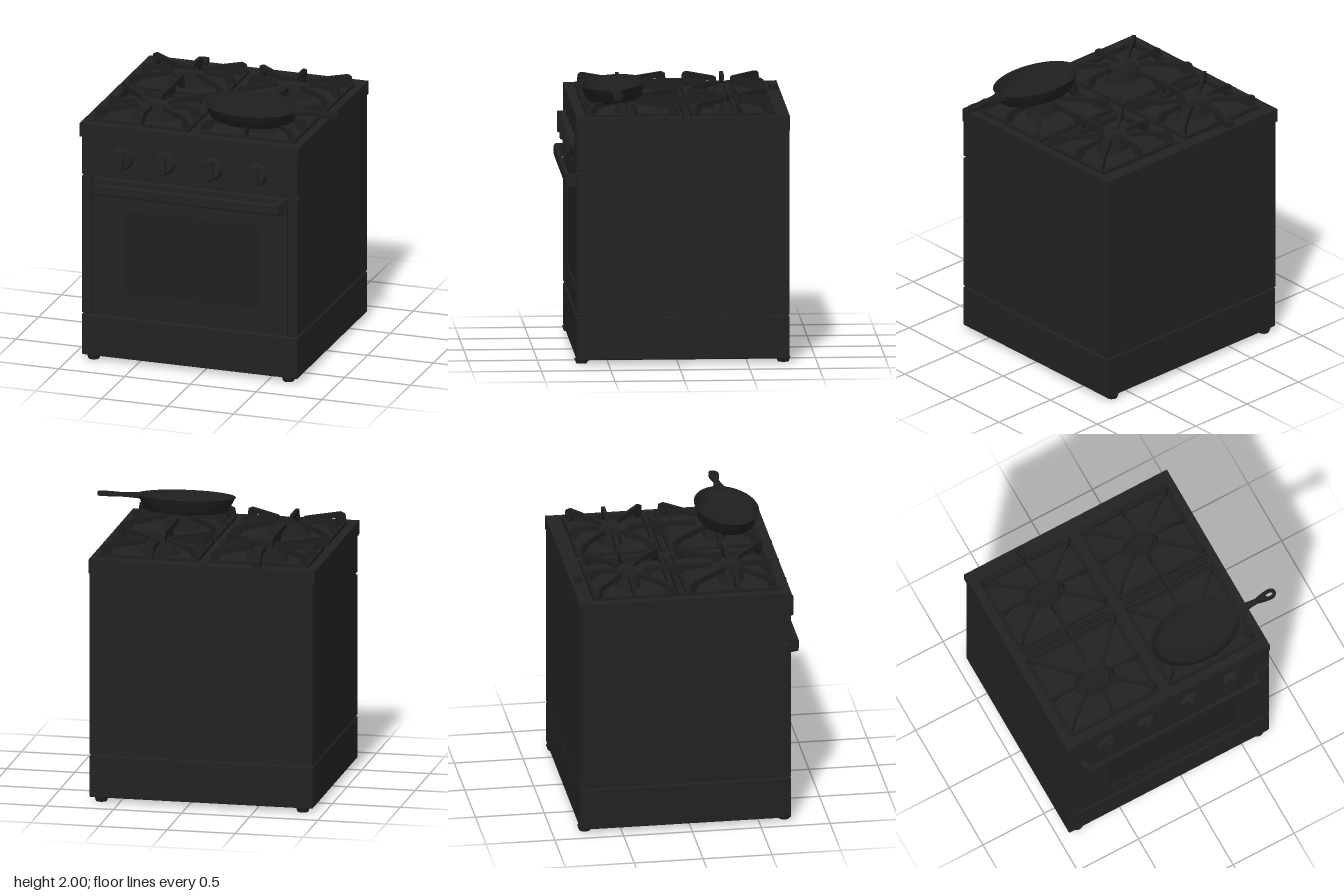
import * as THREE from 'three';
import { toCreasedNormals } from 'three/addons/utils/BufferGeometryUtils.js';
import { RoundedBoxGeometry } from 'three/addons/geometries/RoundedBoxGeometry.js';

const paint = (name, color) => Object.assign(new THREE.MeshStandardMaterial({ color }), { name });

export function createModel() {
  const root = new THREE.Group();
  root.name = 'stove';
  const enamel = paint('black enamel', 0x222222);
  const glass = paint('oven glass', 0x202020);
  const iron = paint('cast iron', 0x1f1f1f);

  const add = (name, geo, mat, parent = root) => {
    const m = new THREE.Mesh(geo, mat);
    m.name = name;
    parent.add(m);
    return m;
  };
  // Box given by its limits on each axis, with optional rounded edges
  const box = (name, [x0, x1], [y0, y1], [z0, z1], mat = enamel, r = 0, parent = root) => {
    const s = [x1 - x0, y1 - y0, z1 - z0];
    const m = add(name, r ? new RoundedBoxGeometry(...s, 2, r) : new THREE.BoxGeometry(...s), mat, parent);
    m.position.set((x0 + x1) / 2, (y0 + y1) / 2, (z0 + z1) / 2);
    return m;
  };
  const rect = (x0, x1, y0, y1, Type = THREE.Shape) => new Type([
    new THREE.Vector2(x0, y0), new THREE.Vector2(x1, y0), new THREE.Vector2(x1, y1), new THREE.Vector2(x0, y1)]);
  const extrude = (shape, depth) => new THREE.ExtrudeGeometry(shape, { depth, bevelEnabled: false, curveSegments: 16 });

  // Cabinet
  const X = [-0.92, 0.72];
  box('drawer', X, [0.03, 0.34], [-0.8, 0.73], enamel, 0.008);
  box('drawerGap', [-0.905, 0.705], [0.33, 0.36], [-0.785, 0.7]);
  box('cabinet', X, [0.35, 1.7], [-0.8, 0.665]);
  for (const x of [[-0.92, -0.845], [0.645, 0.72]]) box('frontColumn', x, [0.35, 1.39], [0.66, 0.73], enamel, 0.006);
  box('controlPanel', X, [1.405, 1.7], [0.66, 0.73], enamel, 0.006);
  for (const x of [-0.84, 0.64]) for (const z of [-0.76, 0.69])
    add('foot', new THREE.CylinderGeometry(0.052, 0.04, 0.035, 16), enamel).position.set(x, 0.0175, z);

  // Oven door with a shallow window
  const frame = rect(-0.84, 0.64, 0.35, 1.38);
  frame.holes.push(rect(-0.61, 0.44, 0.52, 1.16, THREE.Path));
  add('doorFrame', extrude(frame, 0.06), enamel).position.z = 0.662;
  box('ovenWindow', [-0.62, 0.45], [0.51, 1.17], [0.66, 0.712], glass);

  // Door handle: a bar on two slanted brackets
  box('handleBar', [-0.8, 0.6], [1.28, 1.365], [0.772, 0.806], enamel, 0.015);
  for (const s of [-1, 1]) {
    const b = new THREE.Shape([[0.73, -0.715], [0.7, -0.715], [0.665, -0.79], [0.7, -0.8]]
      .map(([x, y]) => new THREE.Vector2(-0.1 + s * x, y)));
    const m = add('handleBracket', extrude(b, 0.09), enamel);
    m.rotation.x = -Math.PI / 2;
    m.position.y = 1.278;
  }

  // Control knobs
  for (const x of [-0.61, -0.29, 0.07, 0.41]) {
    const knob = new THREE.Group();
    knob.name = 'knob';
    knob.position.set(x, 1.56, 0.73);
    root.add(knob);
    const skirt = add('knobSkirt', new THREE.CylinderGeometry(0.07, 0.085, 0.035, 28), enamel, knob);
    skirt.rotation.x = Math.PI / 2;
    skirt.position.z = 0.0175;
    box('knobGrip', [-0.025, 0.025], [-0.08, 0.075], [0.02, 0.062], enamel, 0.012, knob);
  }

  // Cooktop: a rim around two sunken wells
  const rim = rect(-0.935, 0.727, -0.73, 0.805);
  const wells = [[-0.87, -0.13], [-0.06, 0.67]];
  for (const [x0, x1] of wells) rim.holes.push(rect(x0, x1, -0.66, 0.71, THREE.Path));
  const top = add('cooktopRim', extrude(rim, 0.1), enamel);
  top.rotation.x = -Math.PI / 2;
  top.position.y = 1.69;
  box('cooktopFloor', [-0.9, 0.7], [1.695, 1.76], [-0.77, 0.7]);

  // Grate arm: rises at the outer end, then runs level towards the burner
  const arm = (x0, z0, x1, z1, parent, bothEnds = false) => {
    const L = Math.hypot(x1 - x0, z1 - z0);
    const pts = [[0, 1.78], [0.05, 1.78], [0.09, 1.84]];
    if (bothEnds) pts.push([L / 2 - 0.06, 1.84], [L / 2 - 0.03, 1.78], [L / 2 + 0.03, 1.78], [L / 2 + 0.06, 1.84]);
    pts.push([L, 1.845], [L, 1.87], [L - 0.02, 1.88], [0.04, 1.88], [0.015, 1.865]);
    const g = extrude(new THREE.Shape(pts.map(p => new THREE.Vector2(...p))), 0.024).translate(0, 0, -0.012);
    const m = add('grateArm', g, iron, parent);
    m.position.set(x0, 0, z0);
    m.rotation.y = Math.atan2(z0 - z1, x1 - x0);
  };

  // Burners and grates, two in each well
  for (const [x0, x1] of wells) {
    const cx = (x0 + x1) / 2 - (x0 > -0.5 ? 0.015 : 0);
    const r = x0 > -0.5 ? 0.12 : 0.14;
    for (const [za, zb, cz] of [[-0.68, -0.11, -0.4], [-0.01, 0.64, 0.35]]) {
      const g = new THREE.Group();
      g.name = 'burnerAndGrate';
      root.add(g);
      const base = add('burnerBase', new THREE.CylinderGeometry(r, r * 1.15, 0.04, 32), iron, g);
      base.scale.z = 0.62;
      base.position.set(cx, 1.78, cz);
      const cap = add('burnerCap', new THREE.CylinderGeometry(r * 0.8, r * 0.9, 0.025, 32), iron, g);
      cap.scale.z = 0.62;
      cap.position.set(cx, 1.812, cz);
      // Low frame of the grate
      for (const z of [za, zb]) box('grateRail', [x0 + 0.01, x1 - 0.01], [1.77, 1.805], [z - 0.012, z + 0.012], iron, 0, g);
      for (const x of [x0 + 0.02, x1 - 0.02]) box('grateRail', [x - 0.012, x + 0.012], [1.77, 1.805], [za, zb], iron, 0, g);
      for (const s of [-1, 1]) {
        const edge = s < 0 ? x0 + 0.01 : x1 - 0.01;
        arm(edge, cz, cx + s * 0.13, cz, g);
        arm(edge, za + 0.01, cx + s * 0.09, cz - 0.06, g);
        arm(edge, zb - 0.01, cx + s * 0.09, cz + 0.06, g);
      }
    }
    // Front-to-back arms and the strips between the grates
    arm(cx, -0.7, cx, -0.47, root);
    arm(cx, -0.29, cx, 0.22, root, true);
    arm(cx, 0.66, cx, 0.42, root);
    box('middleRail', [x0 + 0.02, x1 - 0.02], [1.75, 1.8], [-0.075, -0.045], iron, 0.008);
    box('middleTray', [x0 + 0.05, x1 - 0.06], [1.755, 1.775], [0.015, 0.095], enamel, 0.008);
    for (const x of [x0 + 0.2, x1 - 0.19]) box('railPost', [x - 0.012, x + 0.012], [1.78, 1.815], [-0.075, -0.045], iron);
  }
  box('rearHook', [-0.53, -0.47], [1.78, 1.84], [-0.785, -0.725], iron, 0.012);

  // Frying pan, slightly tilted towards the front
  const pan = new THREE.Group();
  pan.name = 'fryingPan';
  pan.position.set(0.275, 1.872, 0.435);
  pan.rotation.x = 0.075;
  root.add(pan);
  const profile = [[0, 0], [0.29, 0], [0.31, 0.012], [0.35, 0.095], [0.36, 0.108], [0.342, 0.108], [0.295, 0.03], [0.27, 0.02], [0, 0.02]]
    .map(p => new THREE.Vector2(...p));
  const bowl = toCreasedNormals(new THREE.LatheGeometry(profile, 56).scale(1, 1, 0.645), 0.7);
  add('panBowl', bowl, iron, pan);
  const grip = new THREE.Shape();
  grip.moveTo(0.33, -0.06);
  grip.quadraticCurveTo(0.4, -0.02, 0.5, -0.018);
  grip.quadraticCurveTo(0.56, -0.036, 0.61, -0.036);
  grip.bezierCurveTo(0.668, -0.036, 0.668, 0.036, 0.61, 0.036);
  grip.quadraticCurveTo(0.56, 0.036, 0.5, 0.018);
  grip.quadraticCurveTo(0.4, 0.02, 0.33, 0.06);
  const eye = new THREE.Path();
  eye.absellipse(0.603, 0, 0.028, 0.015, 0, Math.PI * 2, true);
  grip.holes.push(eye);
  const handle = add('panHandle', extrude(grip, 0.028), iron, pan);
  handle.rotation.x = -Math.PI / 2;
  handle.position.y = 0.078;

  return root;
}
